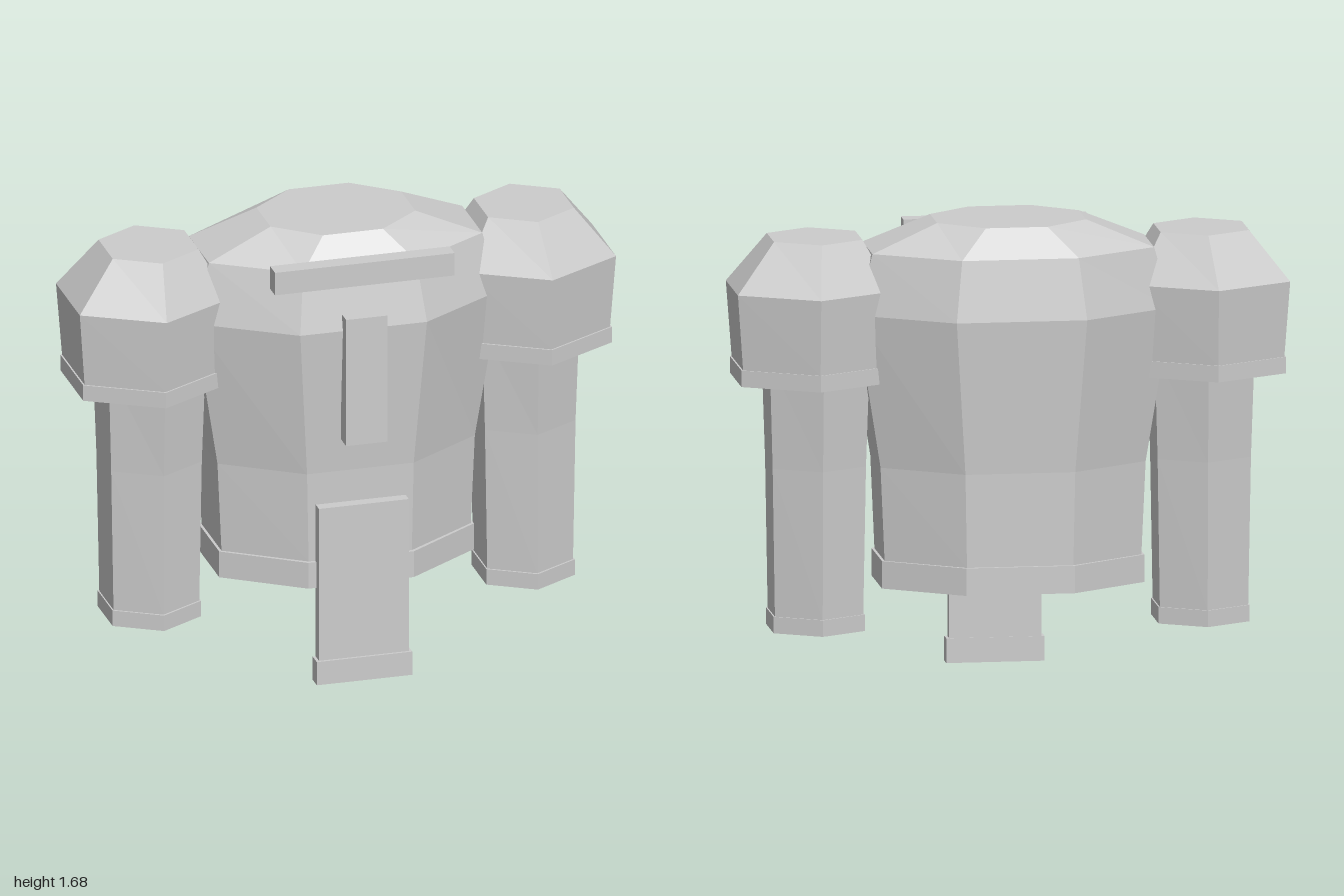
import * as THREE from 'three';

const cloth = new THREE.MeshStandardMaterial({ color: 0xcccccc, side: THREE.DoubleSide, flatShading: true });
cloth.name = 'plain grey cloth';

// Faceted shell through rings [y, half width, front z, back z], listed top to bottom, closed on top only.
function shell(name, sides, start, cx, rings, capped) {
  const rx = sides === 8 ? 1 / Math.cos(Math.PI / 8) : 1 / Math.cos(Math.PI / 6);
  const rz = sides === 8 ? rx : 1;
  const loops = rings.map(([y, hx, front, back]) =>
    Array.from({ length: sides }, (_, i) => {
      const a = start + (i / sides) * Math.PI * 2;
      return [cx + Math.sin(a) * hx * rx, y, (front + back) / 2 + Math.cos(a) * rz * (front - back) / 2];
    }));
  const pos = [];
  const tri = (...corners) => corners.forEach((p) => pos.push(...p));
  for (let j = 0; j < sides; j++) {
    const k = (j + 1) % sides;
    for (let i = 0; i < loops.length - 1; i++) {
      const a = loops[i], b = loops[i + 1];
      tri(a[j], b[j], b[k]);
      tri(a[j], b[k], a[k]);
    }
    if (capped) tri([cx, rings[0][0], (rings[0][2] + rings[0][3]) / 2], loops[0][j], loops[0][k]);
  }
  const geo = new THREE.BufferGeometry();
  geo.setAttribute('position', new THREE.Float32BufferAttribute(pos, 3));
  geo.computeVertexNormals();
  const mesh = new THREE.Mesh(geo, cloth);
  mesh.name = name;
  return mesh;
}

function plate(name, w, y0, y1, z0, z1) {
  const mesh = new THREE.Mesh(new THREE.BoxGeometry(w, y1 - y0, z1 - z0), cloth);
  mesh.position.set(0, (y0 + y1) / 2, (z0 + z1) / 2);
  mesh.name = name;
  return mesh;
}

export function createModel() {
  const model = new THREE.Group();
  model.name = 'tunic';

  // Eight-sided tunic body, open below, with a raised hem
  model.add(shell('body', 8, Math.PI / 8, 0, [
    [1.68, 0.27, 0.2, -0.245],
    [1.58, 0.51, 0.288, -0.34],
    [1.36, 0.57, 0.34, -0.378],
    [0.8, 0.48, 0.297, -0.335],
    [0.46, 0.465, 0.295, -0.33],
  ], true));
  model.add(shell('bodyHem', 8, Math.PI / 8, 0, [
    [0.46, 0.46, 0.293, -0.328],
    [0.46, 0.475, 0.308, -0.342],
    [0.36, 0.475, 0.308, -0.342],
    [0.36, 0.46, 0.293, -0.328],
    [0.46, 0.46, 0.293, -0.328],
  ], false));

  // Six-sided sleeves under flared shoulder caps
  for (const side of [1, -1]) {
    const arm = new THREE.Group();
    arm.name = side > 0 ? 'leftArm' : 'rightArm';
    const sleeveX = side * 0.697, capX = side * 0.72;
    arm.add(shell('sleeve', 6, 0, sleeveX, [
      [1.2, 0.181, 0.193, -0.236],
      [0.8, 0.169, 0.172, -0.213],
      [0.26, 0.16, 0.167, -0.203],
    ], false));
    arm.add(shell('sleeveHem', 6, 0, sleeveX, [
      [0.26, 0.157, 0.164, -0.2],
      [0.26, 0.165, 0.176, -0.21],
      [0.2, 0.165, 0.176, -0.21],
      [0.2, 0.156, 0.164, -0.198],
      [0.26, 0.157, 0.164, -0.2],
    ], false));
    const cap = shell('shoulderCap', 6, 0, 0, [
      [1.625, 0.16, 0.168, -0.203],
      [1.445, 0.28, 0.29, -0.33],
      [1.17, 0.26, 0.273, -0.312],
    ], true);
    // Lean the flat top slightly towards the body
    const p = cap.geometry.attributes.position;
    for (let i = 0; i < p.count; i++) p.setX(i, p.getX(i) + (p.getY(i) > 1.6 ? side * 0.7 : capX));
    cap.geometry.computeVertexNormals();
    arm.add(cap);
    arm.add(shell('shoulderRim', 6, 0, capX, [
      [1.17, 0.25, 0.263, -0.302],
      [1.17, 0.266, 0.28, -0.317],
      [1.11, 0.266, 0.28, -0.317],
      [1.11, 0.25, 0.263, -0.302],
      [1.17, 0.25, 0.263, -0.302],
    ], false));
    model.add(arm);
  }

  // Front panels
  model.add(plate('collarBar', 0.67, 1.535, 1.622, 0.29, 0.355));
  model.add(plate('chestStrip', 0.155, 0.93, 1.42, 0.318, 0.382));
  model.add(plate('hangingPanel', 0.335, 0, 0.68, 0.3, 0.342));
  model.add(plate('panelHem', 0.356, 0, 0.09, 0.298, 0.352));
  return model;
}
